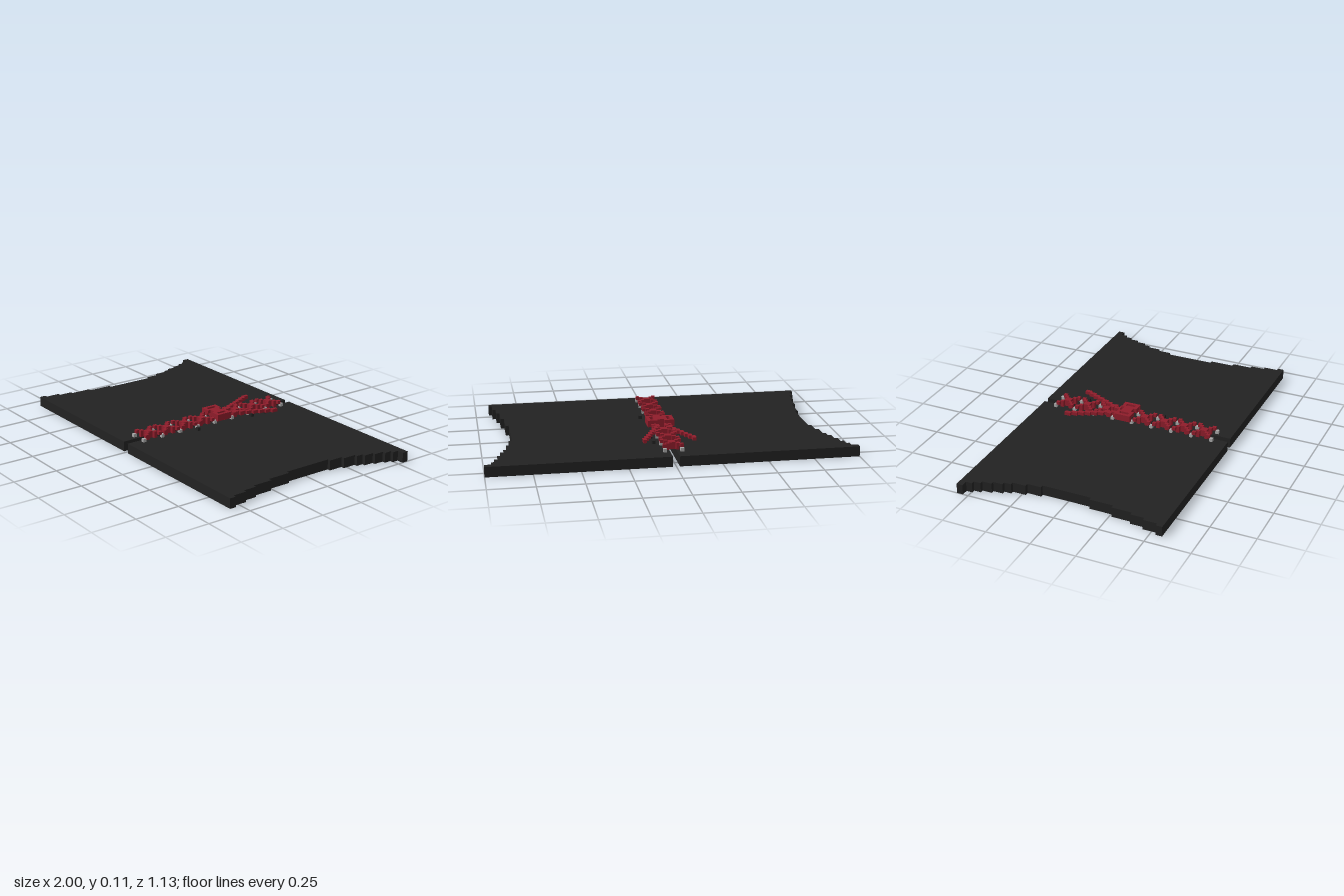
import * as THREE from 'three';

const V = 0.0187; // block size
const mat = (name, color) => {
  const m = new THREE.MeshStandardMaterial({ color });
  m.name = name;
  return m;
};

export function createModel() {
  const black = mat('black cloth', 0x222222);
  const red = mat('red lace', 0x8f1d2b);
  const grey = mat('grey metal', 0xa8a8a8);
  const model = new THREE.Group();

  // Box with its bottom on the given layer (layer 0 is the ground)
  function block(parent, name, material, x, layer, z, w = 1, h = 1, d = 1) {
    const mesh = new THREE.Mesh(new THREE.BoxGeometry(w * V, h * V, d * V), material);
    mesh.position.set(x, (layer + h / 2) * V, z);
    mesh.name = name;
    parent.add(mesh);
  }
  function group(name) {
    const g = new THREE.Group();
    g.name = name;
    model.add(g);
    return g;
  }

  // Two flat panels with a stepped, concave outer edge: [outer x, z where the step ends]
  const steps = [
    [1.0, -0.53], [0.963, -0.495], [0.944, -0.455], [0.925, -0.4], [0.907, -0.345],
    [0.888, -0.305], [0.87, -0.23], [0.85, -0.15], [0.832, 0.128], [0.85, 0.262],
    [0.87, 0.375], [0.888, 0.452], [0.907, 0.53], [0.925, 0.565],
  ];
  for (const side of [1, -1]) {
    const shape = new THREE.Shape();
    shape.moveTo(side * V, -0.565);
    let z = -0.565;
    for (const [x, end] of steps) {
      shape.lineTo(side * x, z);
      shape.lineTo(side * x, end);
      z = end;
    }
    shape.lineTo(side * V, 0.565);
    const geo = new THREE.ExtrudeGeometry(shape, { depth: 3 * V, bevelEnabled: false });
    geo.rotateX(Math.PI / 2).translate(0, 3 * V, 0);
    const panel = new THREE.Mesh(geo, black);
    panel.name = side > 0 ? 'leftPanel' : 'rightPanel';
    model.add(panel);
  }

  // Rows of eyelets along the gap
  const rows = 9, pitch = 0.1195;
  const eyelets = group('eyelets');
  for (let i = 0; i < rows; i++) {
    for (const s of [1, -1]) block(eyelets, 'eyelet', grey, s * 2.5 * V, 3, (i - 4) * pitch);
  }

  // Crossed laces between the rows; the ends rise over the eyelets
  const laces = group('crossedLaces');
  for (let i = 0; i < rows - 1; i++) {
    const zc = (i - 3.5) * pitch;
    for (const s of [1, -1]) {
      for (let k = -2.5; k <= 2.5; k++) {
        const end = Math.abs(k) > 2;
        block(laces, 'laceBlock', red, k * V, end ? 4 : 3, zc + s * k * V * 0.9, 1, end ? 1 : 2, 1.1);
      }
    }
  }

  // Bow: raised knot, two loops and two trailing ends
  const bow = group('bow');
  block(bow, 'knot', red, 0, 4, -0.047, 4, 2, 3);
  for (const s of [1, -1]) {
    block(bow, 'loopBack', red, s * 2.5 * V, 5, -0.084, 3, 1, 1);
    block(bow, 'loopFront', red, s * 2.5 * V, 5, -0.01, 3, 1, 1);
    block(bow, 'loopEnd', red, s * 3.5 * V, 4, -0.047, 1, 2, 5);
    block(bow, 'loopInside', red, s * 2.5 * V, 4, -0.047, 2, 1, 3);
    const n = 8;
    for (let i = 0; i < n; i++) {
      const t = i / (n - 1);
      block(bow, 'trailingEnd', red, s * (0.025 + 0.11 * t), 4, -0.12 - 0.235 * t, 1.1, 1, 2);
    }
  }

  // Small dark supports beside the laces
  const supports = group('supports');
  for (const z of [0.14, -0.235, -0.33]) block(supports, 'support', black, 0.082, 3, z);

  return model;
}
